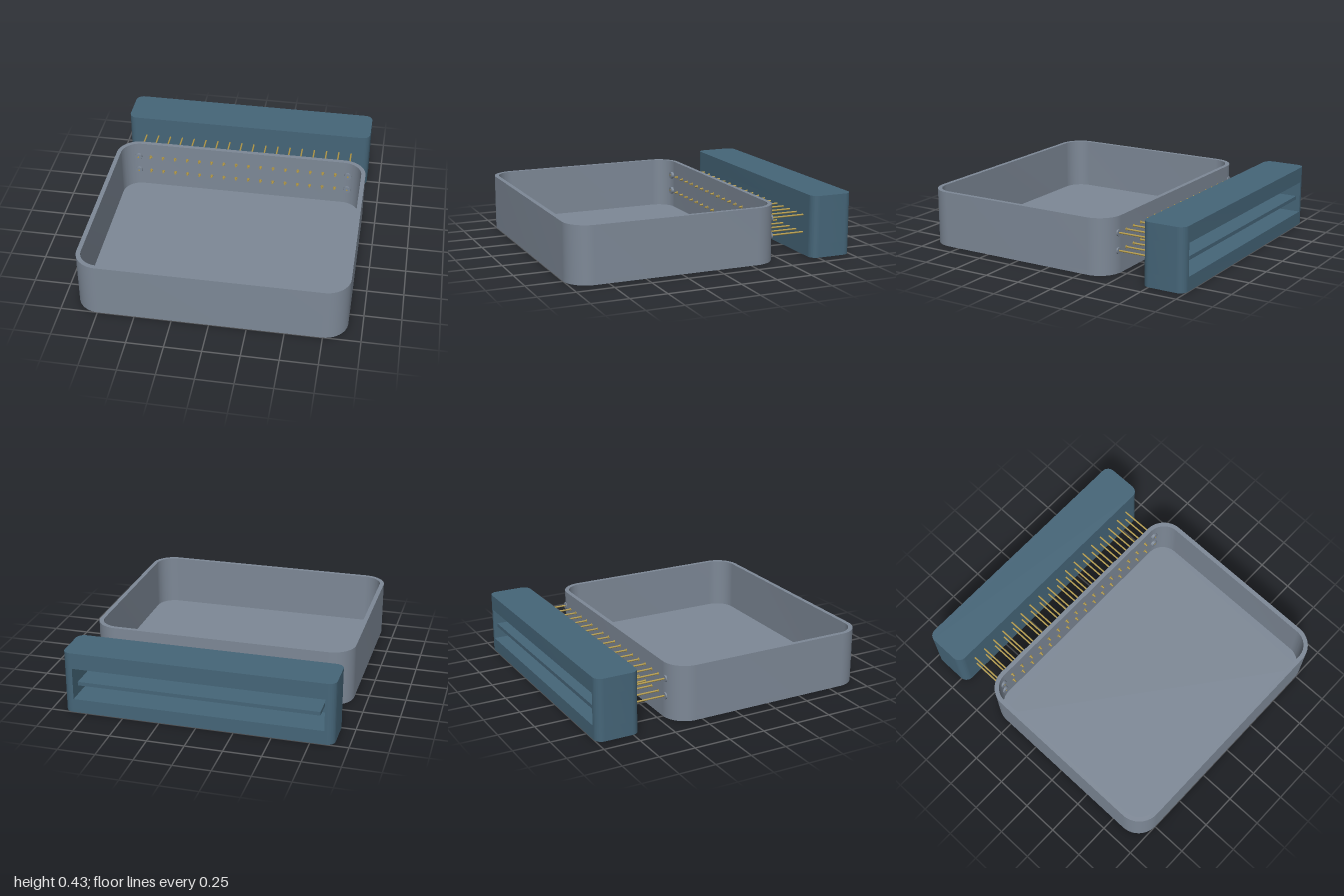
import * as THREE from 'three';
import { toCreasedNormals } from 'three/addons/utils/BufferGeometryUtils.js';

const mat = (name, color) => {
  const m = new THREE.MeshStandardMaterial({ color });
  m.name = name;
  return m;
};

// Rounded rectangle traced in plan; plan v is -z
function roundedRect(path, x, v0, v1, r) {
  path.moveTo(-x + r, v0);
  path.absarc(x - r, v0 + r, r, -Math.PI / 2, 0);
  path.absarc(x - r, v1 - r, r, 0, Math.PI / 2);
  path.absarc(-x + r, v1 - r, r, Math.PI / 2, Math.PI);
  path.absarc(-x + r, v0 + r, r, Math.PI, Math.PI * 1.5);
  return path;
}

// Extrude a plan shape upward from y0 to y1
function slab(shape, y0, y1) {
  const g = new THREE.ExtrudeGeometry(shape, { depth: y1 - y0, bevelEnabled: false, curveSegments: 12 });
  g.rotateX(-Math.PI / 2).translate(0, y0, 0);
  return toCreasedNormals(g, 0.6);
}

export function createModel() {
  const model = new THREE.Group();
  const grey = mat('slate grey', 0x7d8896);
  const teal = mat('deep teal', 0x456578);
  const brass = mat('brass', 0xb0984a);

  const add = (name, geometry, material, parent = model) => {
    const mesh = new THREE.Mesh(geometry, material);
    mesh.name = name;
    parent.add(mesh);
    return mesh;
  };
  // Cylinder lying along z
  const rod = (name, r, z0, z1, x, y, material, parent) => {
    const g = new THREE.CylinderGeometry(r, r, z1 - z0, 16).rotateX(Math.PI / 2);
    add(name, g, material, parent).position.set(x, y, (z0 + z1) / 2);
  };

  // Open tray: floor plus a hollow wall
  const tray = new THREE.Group();
  tray.name = 'tray';
  model.add(tray);
  const outer = () => roundedRect(new THREE.Shape(), 0.905, -1, 0.455, 0.16);
  const wall = outer();
  wall.holes.push(roundedRect(new THREE.Path(), 0.875, -0.97, 0.425, 0.13));
  add('trayFloor', slab(outer(), 0, 0.03), grey, tray);
  add('trayWall', slab(wall, 0.03, 0.385), grey, tray);

  // Connector block: solid base and lid around a pocket open to the back
  const block = new THREE.Group();
  block.name = 'connectorBlock';
  model.add(block);
  const X = 0.905, R = 0.055, P = 0.84;
  const plan = roundedRect(new THREE.Shape(), X, 0.7, 1, R);
  add('blockBase', slab(plan, 0, 0.095), teal, block);
  add('blockLid', slab(plan, 0.315, 0.425), teal, block);
  const u = new THREE.Shape();
  u.moveTo(-X + R, 0.7);
  u.absarc(X - R, 0.7 + R, R, -Math.PI / 2, 0);
  u.absarc(X - R, 1 - R, R, 0, Math.PI / 2);
  u.lineTo(P, 1);
  u.lineTo(P, 0.75);
  u.lineTo(-P, 0.75);
  u.lineTo(-P, 1);
  u.absarc(-X + R, 1 - R, R, Math.PI / 2, Math.PI);
  u.absarc(-X + R, 0.7 + R, R, Math.PI, Math.PI * 1.5);
  add('blockSides', slab(u, 0.095, 0.315), teal, block);

  // Shelf dividing the pocket into two slots
  add('slotDivider', new THREE.BoxGeometry(1.62, 0.025, 0.24), teal, block).position.set(0, 0.205, -0.865);

  // Two rows of contact pins bridging block and tray
  const pins = new THREE.Group();
  pins.name = 'contactPins';
  model.add(pins);
  const count = 18;
  for (const y of [0.155, 0.275]) {
    for (let i = 0; i < count; i++) {
      const x = -0.775 + (1.55 * i) / (count - 1);
      rod('pin', 0.006, -0.74, -0.402, x, y, brass, pins);
      rod('pinSeal', 0.011, -0.459, -0.421, x, y, brass, pins);
    }
    // Bosses around the end pins, inside and outside the tray wall
    for (const x of [-0.775, 0.775]) {
      rod('innerBoss', 0.026, -0.43, -0.405, x, y, grey, tray);
      rod('outerBoss', 0.024, -0.46, -0.45, x, y, grey, tray);
    }
  }
  return model;
}
